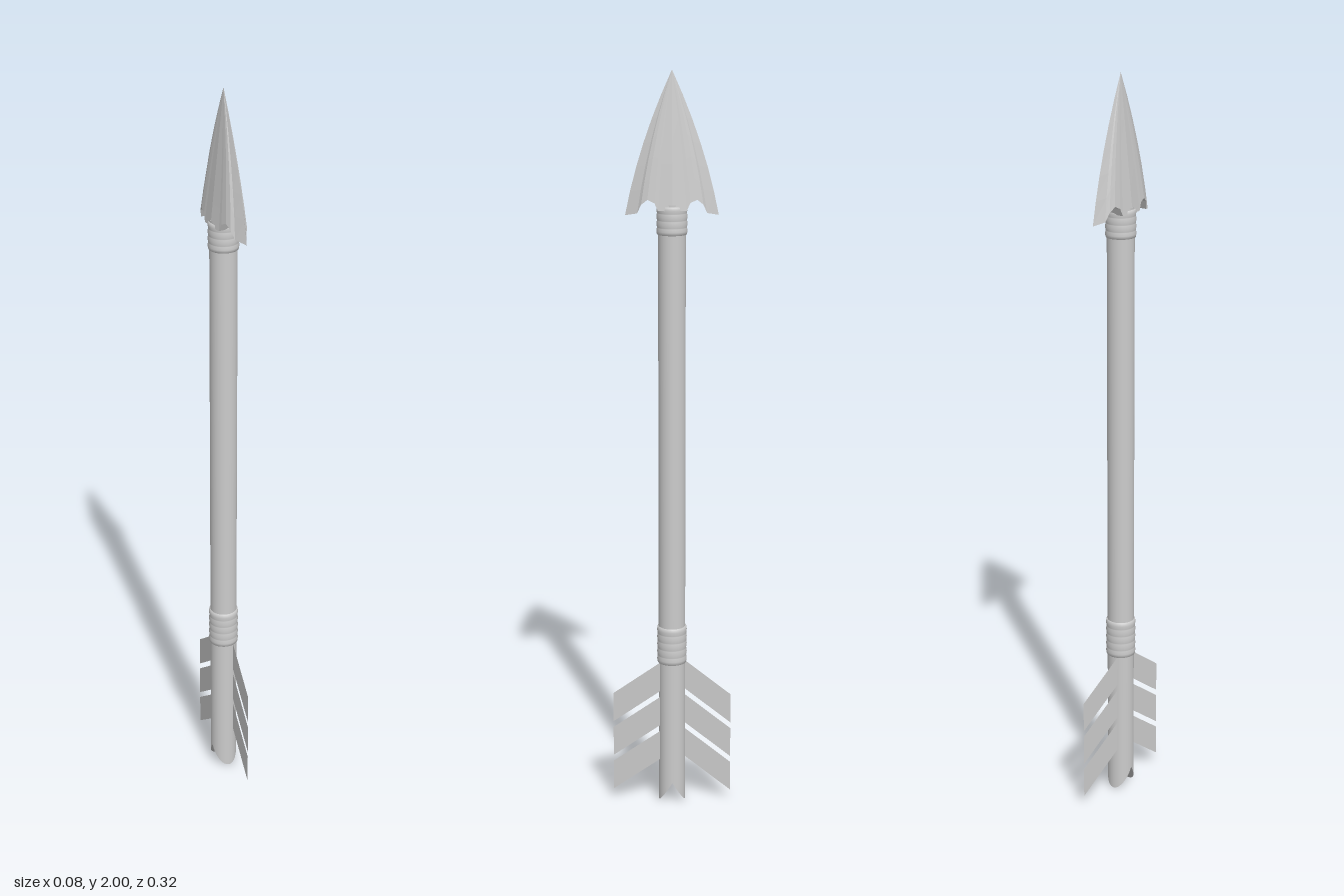
import * as THREE from 'three';

const grey = new THREE.MeshStandardMaterial({ color: 0xcccccc });
const faceted = new THREE.MeshStandardMaterial({ color: 0xcccccc, flatShading: true });
const thin = new THREE.MeshStandardMaterial({ color: 0xcccccc, side: THREE.DoubleSide });
const R = 0.036;

function add(parent, name, geometry, material) {
  const mesh = new THREE.Mesh(geometry, material);
  mesh.name = name;
  parent.add(mesh);
  return mesh;
}

// Round shaft whose lower end is cut into a V-shaped nock
function shaftGeometry() {
  const g = new THREE.CylinderGeometry(R, R, 1.6, 28);
  g.translate(0, 0.86, 0);
  const p = g.attributes.position;
  for (let i = 0; i < p.count; i++) {
    if (p.getY(i) < 0.5) p.setY(i, 0.06 - (0.06 * Math.abs(p.getZ(i))) / R);
  }
  return g;
}

// Sleeve of wound thread around the shaft
function bindingGeometry(y0, y1, turns) {
  const pts = [new THREE.Vector2(R - 0.002, y0)];
  const h = (y1 - y0) / turns;
  for (let i = 0; i < turns; i++) {
    pts.push(new THREE.Vector2(0.039, y0 + h * (i + 0.05)));
    pts.push(new THREE.Vector2(0.0405, y0 + h * (i + 0.5)));
    pts.push(new THREE.Vector2(0.039, y0 + h * (i + 0.95)));
  }
  pts.push(new THREE.Vector2(R - 0.002, y1));
  return new THREE.LatheGeometry(pts, 28);
}

// Barbed head: lines run from the tip down to a notched lower edge
function headGeometry() {
  // lower edge from the barb to the middle: [x, y, z]
  const quarter = [
    [0, 1.63, 0.121], [0.016, 1.637, 0.09], [0.023, 1.66, 0.08], [0.028, 1.673, 0.064],
    [0.031, 1.665, 0.046], [0.033, 1.645, 0.037], [0.037, 1.645, 0],
  ];
  const half = [...quarter, ...quarter.slice(0, -1).reverse().map(([x, y, z]) => [x, y, -z])];
  const loop = [...half, ...half.slice(1, -1).reverse().map(([x, y, z]) => [-x, y, z])];
  const n = loop.length, rows = 6;
  const pos = [], idx = [];
  for (let r = 0; r <= rows; r++) {
    const t = r / rows;
    const bulge = t + 0.42 * t * (1 - t);
    for (const [x, y, z] of loop) pos.push(x * t, 2 - t * (2 - y), z * bulge);
  }
  for (let r = 0; r < rows; r++) {
    for (let k = 0; k < n; k++) {
      const a = r * n + k, b = r * n + ((k + 1) % n);
      if (r > 0) idx.push(a, a + n, b);
      idx.push(b, a + n, b + n);
    }
  }
  // underside joins the two faces
  const base = rows * n;
  for (let k = 0; k < half.length - 1; k++) {
    const p = base + k, q = p + 1;
    const m = base + ((n - k) % n), s = base + n - k - 1;
    if (k > 0) idx.push(p, m, q);
    if (k < half.length - 2) idx.push(m, s, q);
  }
  const g = new THREE.BufferGeometry();
  g.setAttribute('position', new THREE.Float32BufferAttribute(pos, 3));
  g.setIndex(idx);
  g.computeVertexNormals();
  return g;
}

// One slanted vane strip, swept down and outward
function vaneGeometry(top) {
  const s = new THREE.Shape();
  s.moveTo(0.03, top + 0.098);
  s.lineTo(0.163, top);
  s.lineTo(0.163, top - 0.083);
  s.lineTo(0.03, top + 0.015);
  return new THREE.ShapeGeometry(s).rotateY(-Math.PI / 2);
}

export function createModel() {
  const arrow = new THREE.Group();
  arrow.name = 'arrow';
  add(arrow, 'shaft', shaftGeometry(), grey);
  add(arrow, 'lowerBinding', bindingGeometry(0.405, 0.51, 5), grey);
  add(arrow, 'upperBinding', bindingGeometry(1.58, 1.655, 4), grey);
  add(arrow, 'head', headGeometry(), faceted);

  // Two feathers of three strips, set at a slight angle to the shaft
  for (const [name, turn] of [['frontFeather', 0], ['backFeather', Math.PI]]) {
    const feather = new THREE.Group();
    feather.name = name;
    const vanes = new THREE.Group();
    vanes.name = name + 'Vanes';
    for (let i = 0; i < 3; i++) add(vanes, 'vane', vaneGeometry(0.31 - i * 0.1), thin);
    vanes.position.x = 0.018;
    vanes.rotation.y = -0.17;
    feather.add(vanes);
    feather.rotation.y = turn;
    arrow.add(feather);
  }
  return arrow;
}
